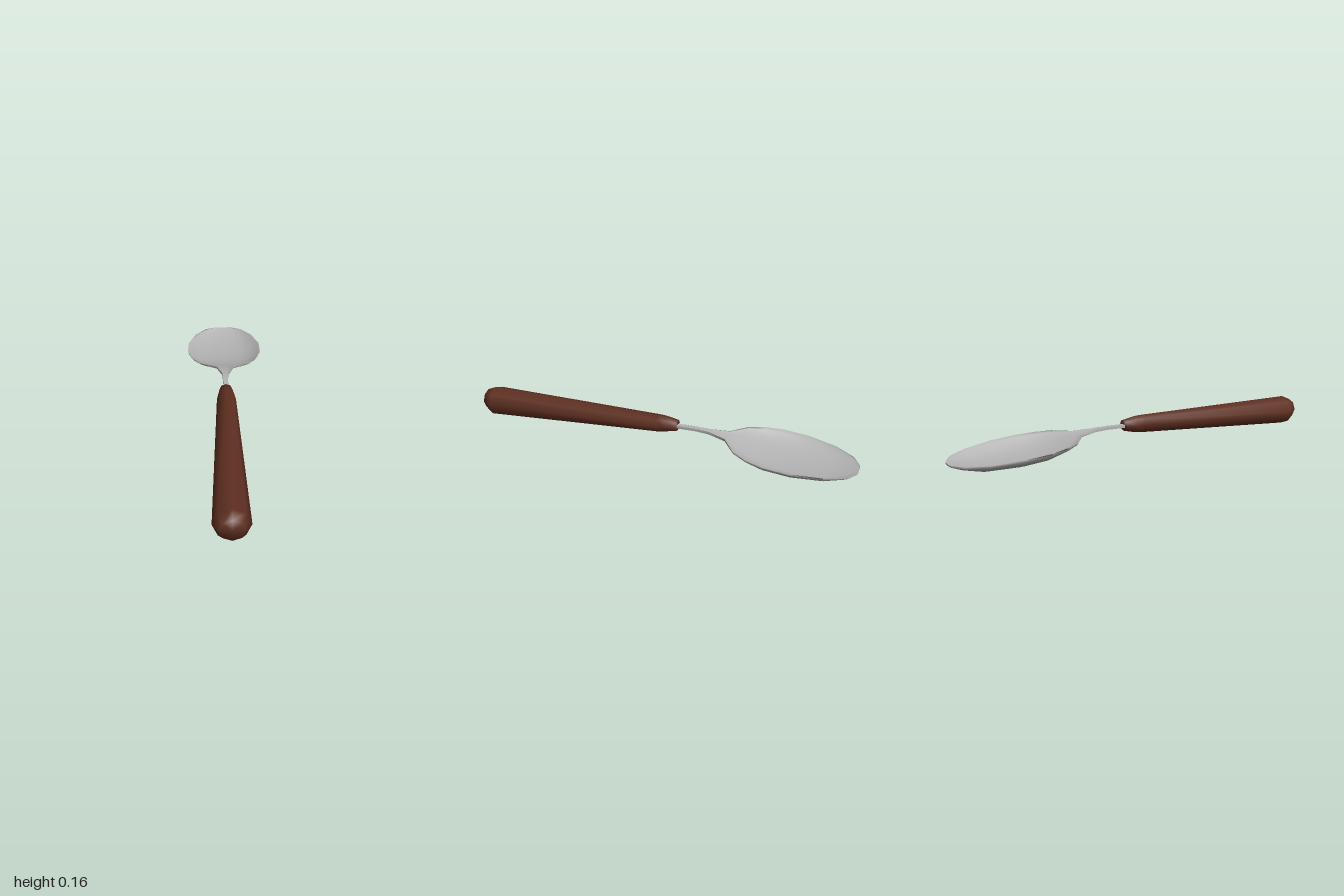
import * as THREE from 'three';

// Skin a closed tube through rings of [x, y, z] points (counter-clockwise seen from +z, running toward -z)
function loft(rings) {
  const n = rings[0].length, pos = rings.flat(2), idx = [];
  for (let s = 0; s < rings.length - 1; s++) {
    for (let j = 0; j < n; j++) {
      const a = s * n + j, b = s * n + (j + 1) % n;
      idx.push(a, a + n, b, b, a + n, b + n);
    }
  }
  // Close both ends with a centre point
  [0, rings.length - 1].forEach((s, end) => {
    const c = pos.length / 3;
    for (let k = 0; k < 3; k++) pos.push(rings[s].reduce((t, p) => t + p[k], 0) / n);
    for (let j = 0; j < n; j++) {
      const a = s * n + j, b = s * n + (j + 1) % n;
      idx.push(c, end ? b : a, end ? a : b);
    }
  });
  const g = new THREE.BufferGeometry();
  g.setAttribute('position', new THREE.Float32BufferAttribute(pos, 3));
  g.setIndex(idx);
  g.computeVertexNormals();
  return g;
}

export function createModel() {
  const wood = new THREE.MeshStandardMaterial({ color: 0x5e2f20 });
  wood.name = 'brown wood';
  const metal = new THREE.MeshStandardMaterial({ color: 0xb5b5b5 });
  metal.name = 'grey metal';
  const model = new THREE.Group();
  model.name = 'spoon';
  const add = (name, geometry, material) => {
    const mesh = new THREE.Mesh(geometry, material);
    mesh.name = name;
    model.add(mesh);
  };

  // Eight-sided tapered handle: z, centre height, half width, half height
  const handleStations = [
    [1, 0.087, 0.056, 0.05], [0.95, 0.08, 0.082, 0.077],
    [0, 0.118, 0.048, 0.045], [-0.04, 0.12, 0.042, 0.041], [-0.1, 0.122, 0.032, 0.028],
  ];
  add('handle', loft(handleStations.map(([z, y, rx, ry]) =>
    Array.from({ length: 8 }, (_, i) => {
      const a = i * Math.PI / 4;
      return [rx * Math.cos(a), y + ry * Math.sin(a), z];
    }))), wood);

  // Stem flaring into the bowl: z, half width, rim height, inner depth, thickness
  const bowlStations = [
    [-0.06, 0.013, 0.126, 0, 0.016], [-0.2, 0.013, 0.128, 0, 0.014],
    [-0.27, 0.017, 0.126, 0, 0.014], [-0.36, 0.045, 0.118, 0.005, 0.012],
    [-0.43, 0.14, 0.111, 0.023, 0.01], [-0.5, 0.18, 0.104, 0.039, 0.01],
    [-0.59, 0.205, 0.096, 0.053, 0.01], [-0.72, 0.205, 0.086, 0.053, 0.01],
    [-0.865, 0.165, 0.075, 0.043, 0.01], [-0.96, 0.105, 0.067, 0.018, 0.009],
    [-1, 0.04, 0.062, 0.003, 0.007],
  ];
  // Half profile: fraction of width, fraction of depth
  const half = [[1, 0], [0.94, 0.25], [0.75, 0.64], [0.48, 0.95]];
  const across = [...half, [0, 1], ...half.map(([x, d]) => [-x, d]).reverse()];
  add('stemAndBowl', loft(bowlStations.map(([z, w, rim, depth, t]) => [
    ...across.map(([x, d]) => [x * w, rim - d * depth, z]),
    ...across.map(([x, d]) => [x * w * 0.985, rim - d * depth - t, z]).reverse(),
  ])), metal);

  return model;
}
